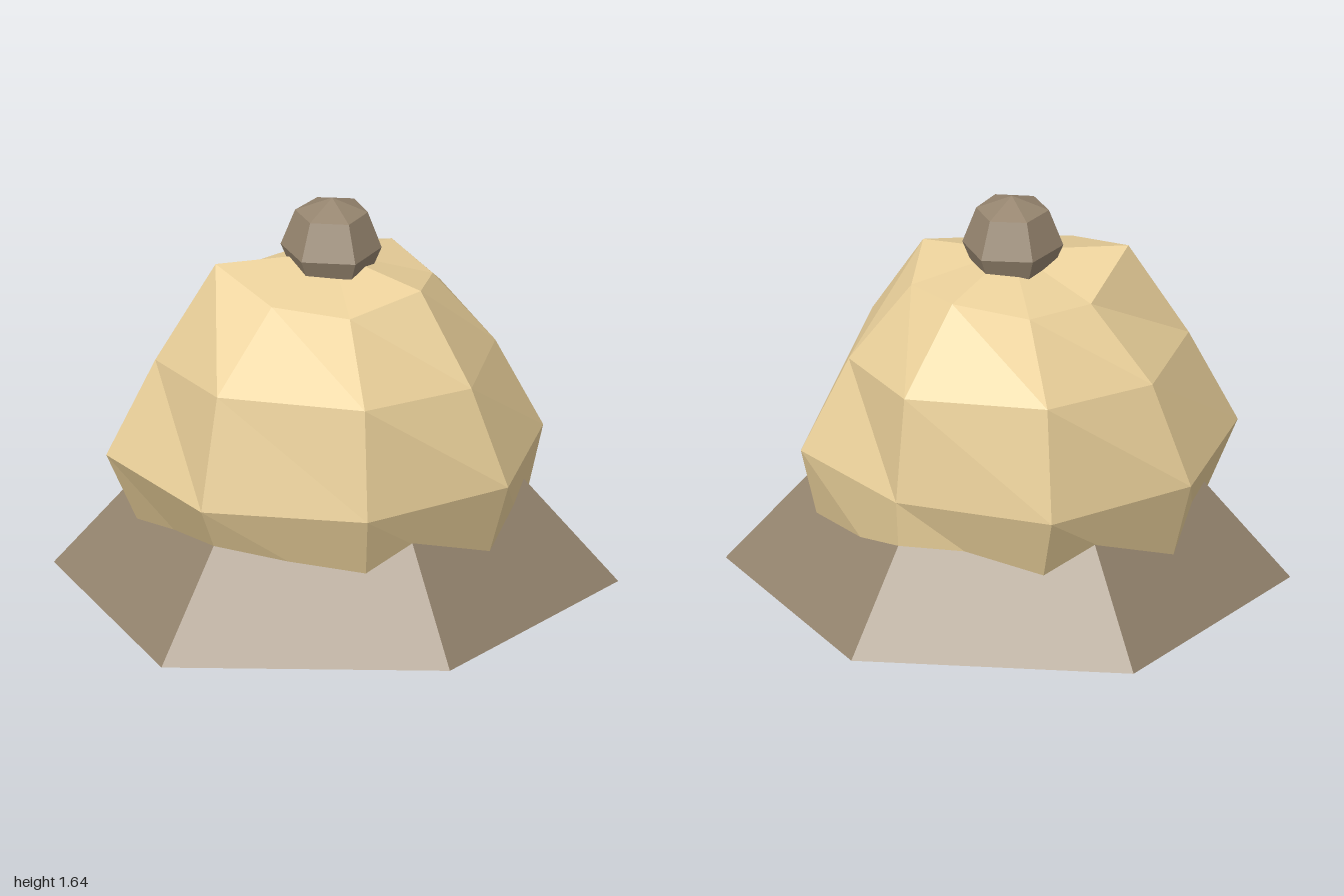
import * as THREE from 'three';

const CX = 0.03; // axis of the slightly off-centre figure

// Closed faceted shell from rings of [x, y, z] corners (running from +x to +z), with a pole at each end
function shell(rings, top, bottom) {
  const n = rings[0].length, pos = [];
  const add = (...pts) => pts.forEach(p => pos.push(...p));
  for (let i = 0; i < n; i++) {
    const j = (i + 1) % n;
    add(top, rings[0][j], rings[0][i]);
    for (let r = 0; r < rings.length - 1; r++) {
      const a = rings[r][i], b = rings[r][j], c = rings[r + 1][i], d = rings[r + 1][j];
      add(a, b, c, b, d, c);
    }
    const last = rings[rings.length - 1];
    add(last[i], last[j], bottom);
  }
  const geo = new THREE.BufferGeometry();
  geo.setAttribute('position', new THREE.Float32BufferAttribute(pos, 3));
  geo.computeVertexNormals();
  return geo;
}

function part(name, geo, color) {
  const mesh = new THREE.Mesh(geo, new THREE.MeshStandardMaterial({ color, flatShading: true }));
  mesh.name = name;
  return mesh;
}

export function createModel() {
  const group = new THREE.Group();
  const tan = 0xead09a, brown = 0x96856f;

  // Rough eight-sided ball, rings from top to bottom
  const body = [
    [[0.39, 1.365, 0], [0.28, 1.335, 0.25], [CX, 1.385, 0.375], [-0.22, 1.335, 0.25],
      [-0.335, 1.36, 0], [-0.26, 1.425, -0.29], [CX, 1.32, -0.335], [0.28, 1.33, -0.25]],
    [[0.68, 1.11, 0], [0.43, 1.07, 0.41], [CX, 1.07, 0.59], [-0.45, 1.125, 0.475],
      [-0.665, 1.135, 0], [-0.41, 1.08, -0.44], [CX, 1.08, -0.595], [0.515, 1.135, -0.49]],
    [[0.73, 0.735, 0], [0.555, 0.735, 0.525], [CX, 0.735, 0.745], [-0.505, 0.735, 0.525],
      [-0.76, 0.735, 0], [-0.535, 0.735, -0.56], [CX, 0.735, -0.758], [0.575, 0.735, -0.55]],
    [[0.7, 0.37, 0], [0.49, 0.37, 0.47], [CX, 0.37, 0.635], [-0.4, 0.37, 0.44],
      [-0.58, 0.37, 0], [-0.42, 0.37, -0.45], [CX, 0.37, -0.66], [0.48, 0.37, -0.43]],
    [[0.42, 0.05, 0], [0.27, 0.13, 0.24], [CX, 0.08, 0.38], [-0.23, 0.11, 0.25],
      [-0.32, 0.13, 0], [-0.24, 0.1, -0.26], [CX, 0.09, -0.37], [0.28, 0.115, -0.25]]
  ];
  group.add(part('body', shell(body, [CX, 1.44, 0], [CX, 0, 0]), tan));

  // Six-sided cone flaring out below the body, with a flat underside
  const hem = [[1, 0], [0.53, 0.86], [-0.45, 0.835], [-1, 0], [-0.455, -0.838], [0.53, -0.865]]
    .map(([x, z]) => [x, 0.235, z]);
  group.add(part('skirt', shell([hem], [CX, 1.37, 0], [CX, 0.235, 0]), brown));

  // Small six-sided knob on top
  const knobOutline = [[0.215, 0], [0.115, 0.15], [-0.065, 0.165], [-0.155, 0], [-0.06, -0.155], [0.125, -0.155]];
  const knobRing = (y, s) => knobOutline.map(([x, z]) => [CX + (x - CX) * s, y, z * s]);
  const knob = [knobRing(1.595, 0.72), knobRing(1.465, 1), knobRing(1.338, 0.7)];
  group.add(part('knob', shell(knob, [CX, 1.645, 0], [CX, 1.285, 0]), brown));

  return group;
}
